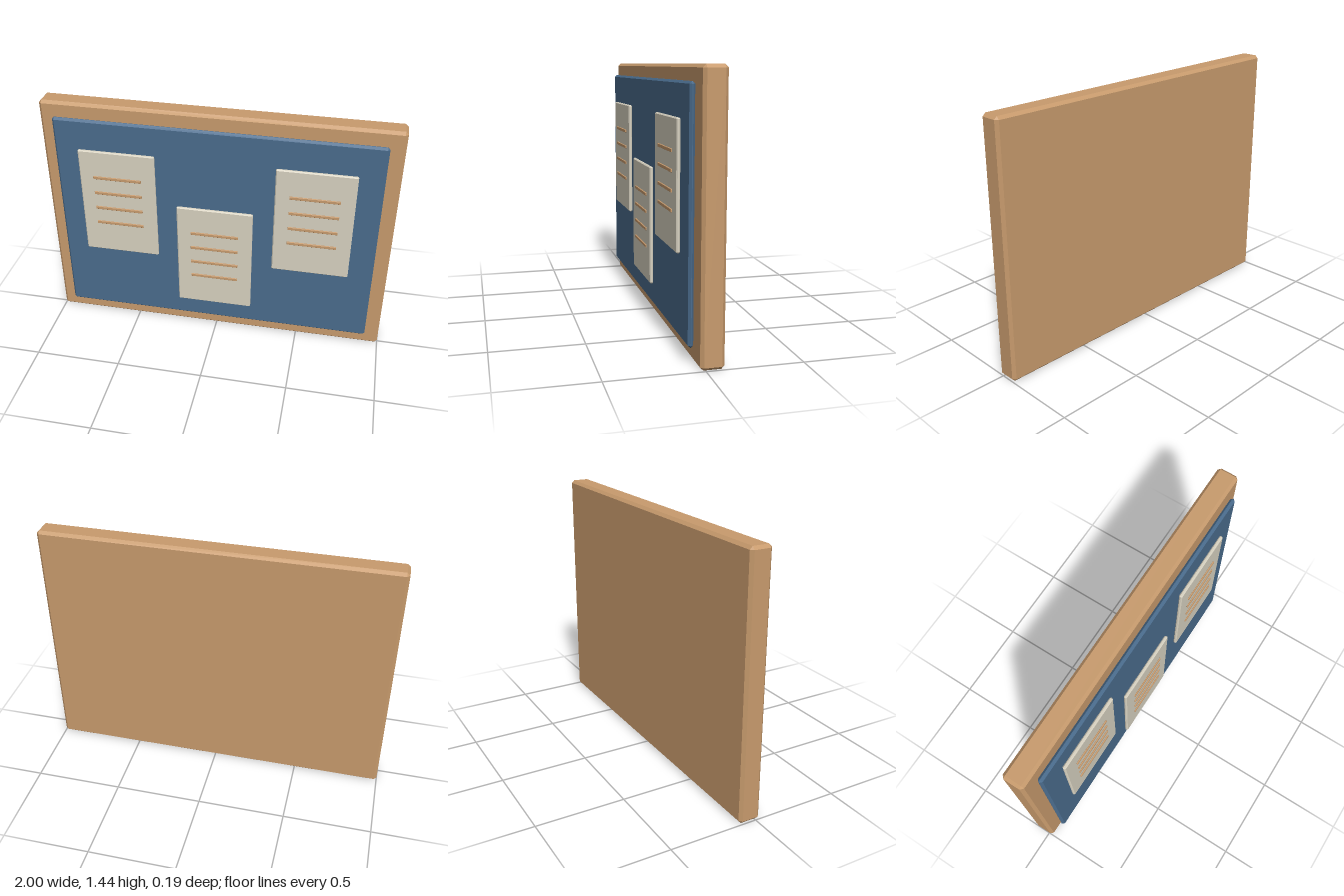
import * as THREE from 'three';
import { ConvexGeometry } from 'three/addons/geometries/ConvexGeometry.js';

// Box with every edge and corner cut by a flat chamfer
function chamferBox(w, h, d, c) {
  const points = [];
  for (const x of [-1, 1]) for (const y of [-1, 1]) for (const z of [-1, 1]) {
    const [a, b, e] = [w / 2, h / 2, d / 2];
    points.push(
      new THREE.Vector3(x * a, y * (b - c), z * (e - c)),
      new THREE.Vector3(x * (a - c), y * b, z * (e - c)),
      new THREE.Vector3(x * (a - c), y * (b - c), z * e),
    );
  }
  return new ConvexGeometry(points);
}

export function createModel() {
  const wood = new THREE.MeshStandardMaterial({ name: 'wood', color: 0xc89b6d });
  const blue = new THREE.MeshStandardMaterial({ name: 'blue felt', color: 0x4a6c8d });
  const paper = new THREE.MeshStandardMaterial({ name: 'paper', color: 0xd7d1c0 });

  const model = new THREE.Group();
  model.name = 'noticeBoard';

  const add = (parent, name, geometry, material, x, y, z) => {
    const mesh = new THREE.Mesh(geometry, material);
    mesh.name = name;
    mesh.position.set(x, y, z);
    parent.add(mesh);
  };

  // Wooden backing and the felt panel floating just in front of it
  add(model, 'backing', chamferBox(2, 1.442, 0.122, 0.016), wood, 0, 0.721, -0.035);
  add(model, 'feltPanel', chamferBox(1.834, 1.276, 0.028, 0.012), blue, 0, 0.726, 0.051);

  // Three notices, each with four raised lines of writing
  const sheet = chamferBox(0.44, 0.664, 0.02, 0.006);
  const line = chamferBox(0.278, 0.018, 0.008, 0.002);
  const notices = [
    ['rightNotice', -0.557, 0.857],
    ['middleNotice', 0, 0.548],
    ['leftNotice', 0.557, 0.857],
  ];
  for (const [name, x, y] of notices) {
    const notice = new THREE.Group();
    notice.name = name;
    notice.position.set(x, y, 0);
    add(notice, 'sheet', sheet, paper, 0, 0, 0.079);
    for (let i = 0; i < 4; i++) {
      add(notice, 'writingLine', line, wood, 0, 0.167 - i * 0.1, 0.092);
    }
    model.add(notice);
  }
  return model;
}
